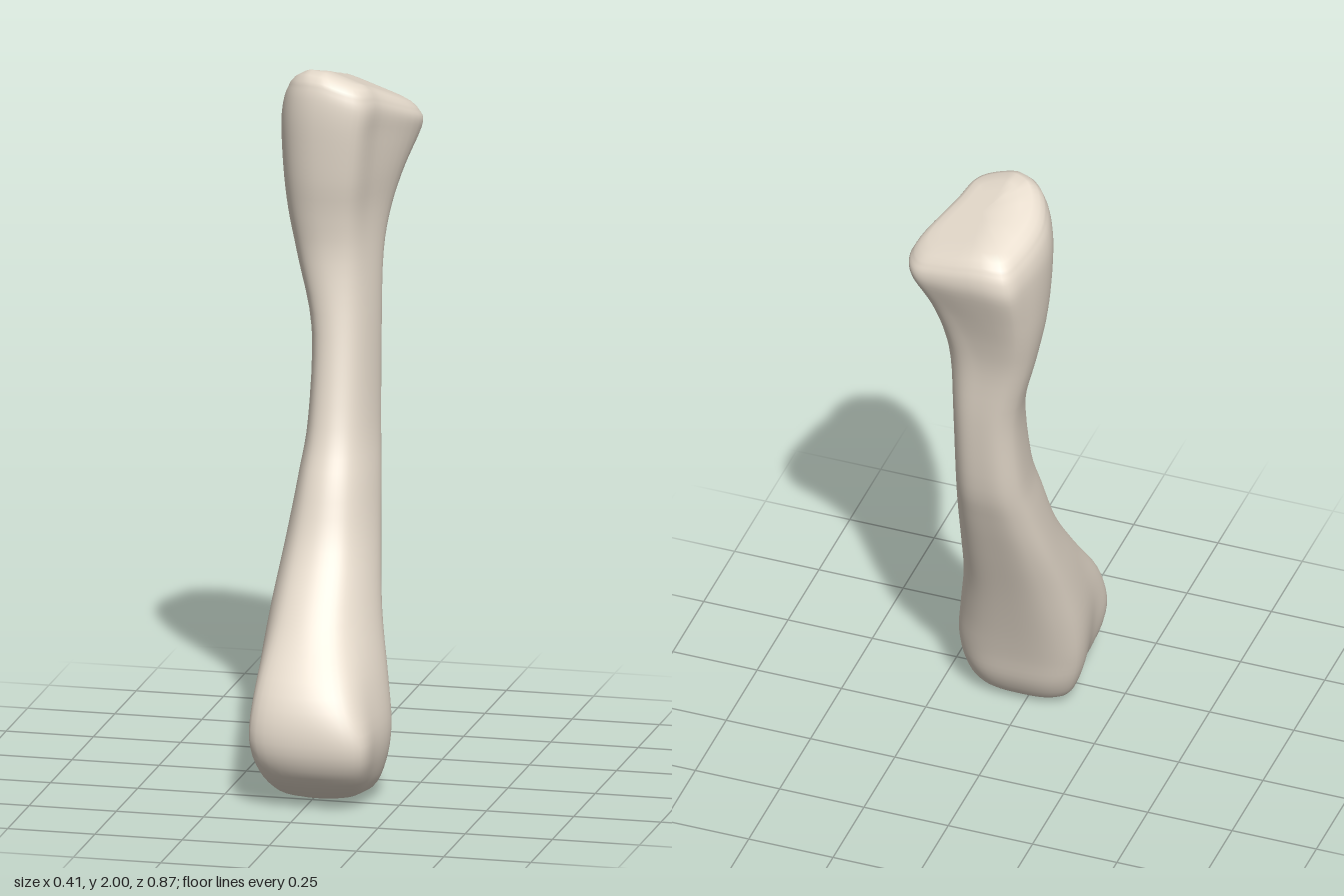
import * as THREE from 'three';

const SIDES = 60, STEPS = 4;

// Unit cross-sections, from front centre round by the left, back and right
const section = (pts) => new THREE.CatmullRomCurve3(
  pts.map(([x, z]) => new THREE.Vector3(x, 0, z)), true, 'centripetal');
const sections = [
  // lower knuckle: boxy, with square back corners and barely hollow sides
  section([[0.1, 1], [0.86, 0.83], [0.97, 0.25], [0.98, -0.6], [0.65, -0.92], [0, -1],
    [-0.68, -0.93], [-1, -0.68], [-0.92, 0.1], [-0.86, 0.78]]),
  // shaft: rounded in front, flatter behind
  section([[-0.05, 1], [0.52, 0.83], [0.88, 0.28], [0.98, -0.5], [0.6, -0.9], [0, -1],
    [-0.65, -0.92], [-1, -0.58], [-0.92, 0.25], [-0.6, 0.82]]),
  // head: lopsided wedge
  section([[-0.3, 1], [0.35, 0.94], [0.6, 0.42], [0.99, -0.47], [0.85, -0.8], [0.5, -0.93],
    [-0.7, -1], [-0.9, -0.6], [-1, 0.17], [-0.75, 0.75]]),
];

// Stations: y, x min, x max, z back, z front, section (0 knuckle, 1 shaft, 2 head)
const stations = [
  [0.005, -0.05, 0.08, 0.15, 0.25, 0.6],
  [0.03, -0.11, 0.155, 0.115, 0.312, 0.4],
  [0.1, -0.145, 0.188, 0.075, 0.398, 0.1],
  [0.2, -0.168, 0.2, 0.045, 0.433, 0],
  [0.33, -0.174, 0.182, 0, 0.4, 0.45],
  [0.5, -0.16, 0.147, -0.065, 0.27, 0.95],
  [0.68, -0.14, 0.122, -0.14, 0.135, 1],
  [0.85, -0.12, 0.105, -0.21, 0.06, 1],
  [1.0, -0.106, 0.09, -0.262, -0.005, 1],
  [1.25, -0.108, 0.08, -0.305, -0.065, 1.05],
  [1.45, -0.155, 0.08, -0.328, -0.09, 1.25],
  [1.58, -0.182, 0.098, -0.358, -0.083, 1.55],
  [1.7, -0.195, 0.132, -0.395, -0.066, 1.8],
  [1.83, -0.2, 0.165, -0.428, -0.056, 2],
  [1.9, -0.192, 0.175, -0.43, -0.058, 2],
  [1.94, -0.175, 0.16, -0.415, -0.07, 2],
];

// Sloping joint surface on top of the head
const topHeight = (x, z) => 2.0 - 0.34 * Math.max(0, x + 0.05)
  + 0.3 * Math.min(0, z + 0.13) - 0.25 * Math.max(0, -x - 0.1);

function ring([y, x0, x1, z0, z1, kind], scale = 1) {
  const lower = sections[kind < 1 ? 0 : 1], upper = sections[kind < 1 ? 1 : 2];
  const blend = THREE.MathUtils.clamp(kind < 1 ? kind : kind - 1, 0, 1);
  const points = [];
  for (let j = 0; j < SIDES; j++) {
    const p = lower.getPoint(j / SIDES).lerp(upper.getPoint(j / SIDES), blend);
    p.x = (x0 + x1) / 2 + p.x * scale * (x1 - x0) / 2;
    p.z = (z0 + z1) / 2 + p.z * scale * (z1 - z0) / 2;
    // stretch the head so that its rim follows the sloping top
    p.y = y <= 1.68 ? y : 1.68 + (y - 1.68) * (topHeight(p.x, p.z) - 1.68) / 0.28;
    points.push(p);
  }
  return points;
}

function boneGeometry() {
  const rings = [];
  const last = stations.length - 1;
  const spline = new THREE.CubicInterpolant(
    stations.map((_, i) => i), stations.flat(), 6);
  const base = stations[0];
  rings.push(ring([0, ...base.slice(1)], 0.001)); // closes the bottom
  for (let i = 0; i <= last * STEPS; i++) rings.push(ring([...spline.evaluate(i / STEPS)]));
  // joint surface, drawn in to the middle
  const rim = stations[last].slice(1);
  [[1.953, 0.92], [1.96, 0.8], [1.96, 0.6], [1.96, 0.4], [1.96, 0.2], [1.96, 0.001]]
    .forEach(([y, s]) => rings.push(ring([y, ...rim], s)));

  const index = [];
  for (let i = 0; i < rings.length - 1; i++) {
    for (let j = 0; j < SIDES; j++) {
      const a = i * SIDES + j, b = i * SIDES + (j + 1) % SIDES;
      index.push(a, b, a + SIDES, b, b + SIDES, a + SIDES);
    }
  }
  const geometry = new THREE.BufferGeometry().setFromPoints(rings.flat());
  geometry.setIndex(index);
  geometry.computeVertexNormals();
  return geometry;
}

export function createModel() {
  const group = new THREE.Group();
  group.name = 'longBone';
  const bone = new THREE.Mesh(boneGeometry(),
    new THREE.MeshStandardMaterial({ color: 0xe8ddce }));
  bone.name = 'bone';
  group.add(bone);
  return group;
}
